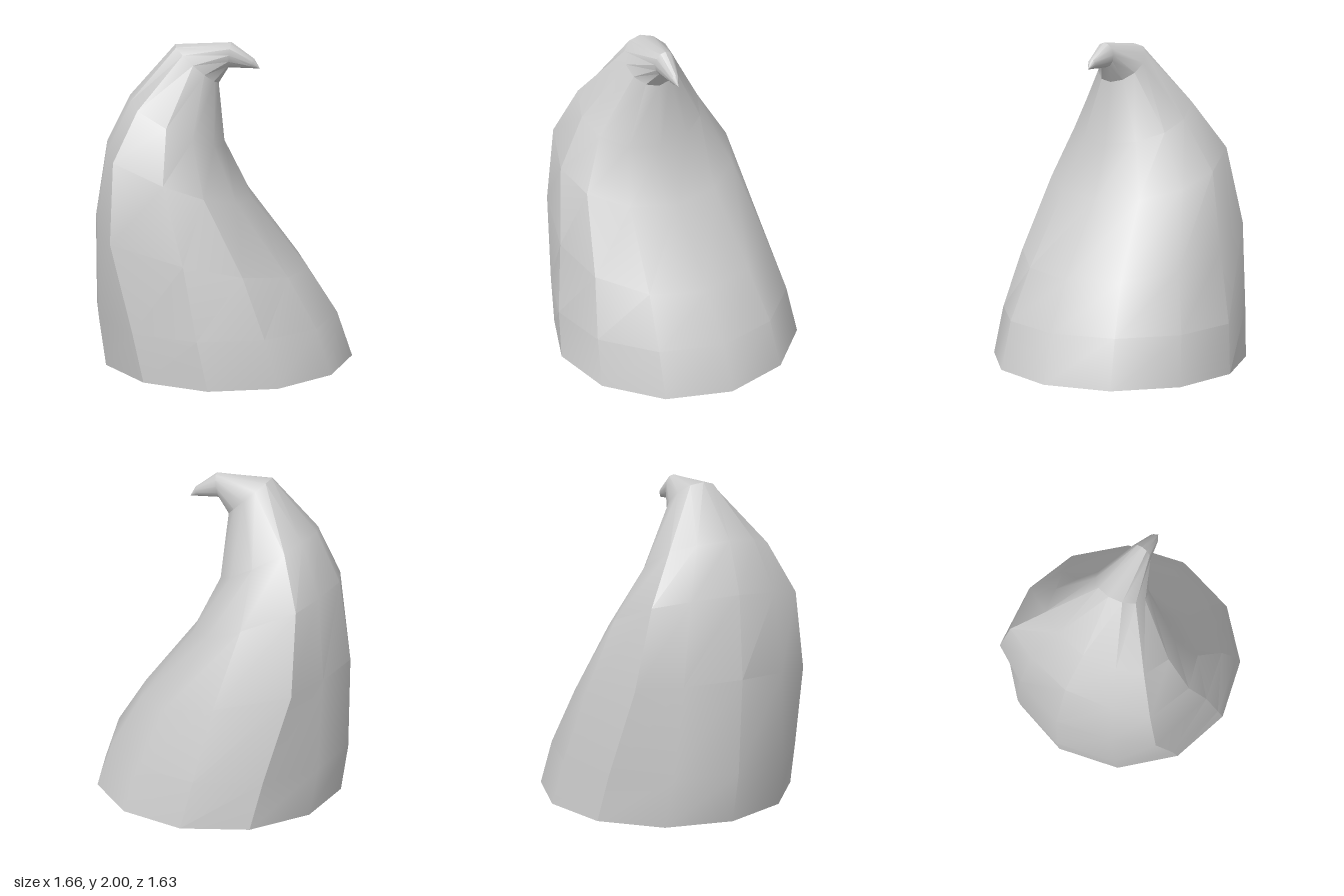
import * as THREE from 'three';
import { toCreasedNormals } from 'three/addons/utils/BufferGeometryUtils.js';

const SIDES = 12;

// Tilted cross-sections: [outer x, outer y, inner x, inner y, centre z, half depth, side bulge]
const hollow = [
  [0.015, 0.27, 0.015, 0.27, 0, 0, 0],
  [-0.61, 0.27, 0.64, 0.27, 0, 0.625, 0],
  [-0.61, 0, 0.64, 0, 0, 0.625, 0],
];
const body = [
  [-0.80, 0, 0.83, 0, 0, 0.815, 0],
  [-0.835, 0.30, 0.73, 0.29, 0.015, 0.78, 0.02],
  [-0.825, 0.88, 0.54, 0.58, 0.04, 0.69, 0.17],
  [-0.735, 1.37, 0.19, 1.02, 0.07, 0.585, 0.18],
  [-0.575, 1.67, 0.02, 1.36, 0.10, 0.40, 0.12],
  [-0.29, 1.985, -0.02, 1.75, 0.09, 0.16, 0],
  [0.06, 2.0, 0.04, 1.845, 0.085, 0.065, 0],
  [0.20, 1.90, 0.175, 1.842, 0.085, 0.028, 0],
  [0.235, 1.84, 0.235, 1.84, 0.085, 0, 0],
];

function ringPoints([ox, oy, ix, iy, cz, depth, bulge]) {
  return Array.from({ length: SIDES }, (_, i) => {
    const a = (i / SIDES) * Math.PI * 2;
    // The shoulders two steps from the outer edge are pushed outwards
    const shoulder = i === 4 || i === 8 ? bulge : 0;
    const t = (Math.cos(a) - shoulder + 1) / 2;
    return new THREE.Vector3(ox + (ix - ox) * t, oy + (iy - oy) * t, cz + depth * Math.sin(a));
  });
}

function loft(sections) {
  const rings = sections.map(ringPoints);
  const pos = [];
  const tri = (a, b, c) => {
    if (a.distanceTo(b) < 1e-6 || b.distanceTo(c) < 1e-6 || c.distanceTo(a) < 1e-6) return;
    for (const p of [a, b, c]) pos.push(p.x, p.y, p.z);
  };
  for (let r = 0; r < rings.length - 1; r++) {
    for (let i = 0; i < SIDES; i++) {
      const j = (i + 1) % SIDES;
      tri(rings[r][i], rings[r + 1][i], rings[r][j]);
      tri(rings[r][j], rings[r + 1][i], rings[r + 1][j]);
    }
  }
  const geo = new THREE.BufferGeometry();
  geo.setAttribute('position', new THREE.Float32BufferAttribute(pos, 3));
  return toCreasedNormals(geo, 0.53);
}

export function createModel() {
  const group = new THREE.Group();
  const material = new THREE.MeshStandardMaterial({ color: 0xcccccc });
  const add = (name, sections) => {
    const mesh = new THREE.Mesh(loft(sections), material);
    mesh.name = name;
    group.add(mesh);
  };
  // Recess under the base together with the flat rim
  add('baseRecess', [...hollow, body[0]]);
  // Leaning body that curls over into a pointed tip
  add('curledHorn', body);
  return group;
}
